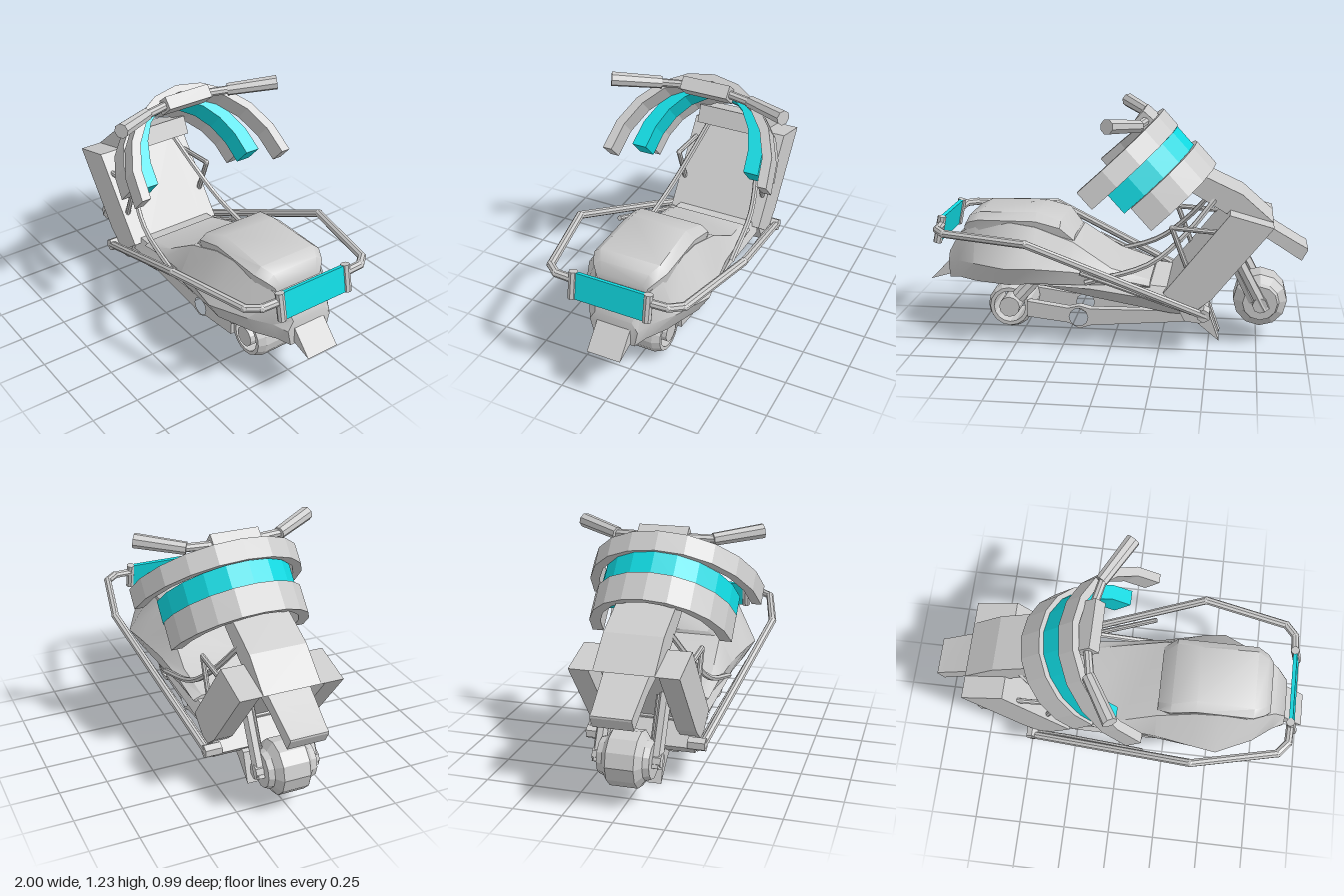
import * as THREE from 'three';
import { toCreasedNormals } from 'three/addons/utils/BufferGeometryUtils.js';

const V = (x, y, z) => new THREE.Vector3(x, y, z);

export function createModel() {
  const root = new THREE.Group();
  const grey = new THREE.MeshStandardMaterial({ color: 0xcccccc, flatShading: true });
  const smooth = new THREE.MeshStandardMaterial({ color: 0xcccccc });
  const cyan = new THREE.MeshStandardMaterial({ color: 0x10d8e0, flatShading: true });

  function add(name, geo, mat = grey) {
    const m = new THREE.Mesh(geo, mat);
    m.name = name;
    root.add(m);
    return m;
  }
  // Side outline (x, y) extruded from z0 to z1
  function slab(name, pts, z0, z1, holes = []) {
    const s = new THREE.Shape(pts.map(p => new THREE.Vector2(...p)));
    for (const [x, y, r] of holes) s.holes.push(new THREE.Path().absarc(x, y, r, 0, Math.PI * 2, true));
    const g = new THREE.ExtrudeGeometry(s, { depth: z1 - z0, bevelEnabled: false, curveSegments: 5 });
    return add(name, g.translate(0, 0, z0));
  }
  // Straight bar between two points
  function bar(name, a, b, r, sides = 8, mat = grey, r2 = r) {
    const d = b.clone().sub(a);
    const m = add(name, new THREE.CylinderGeometry(r2, r, d.length(), sides), mat);
    m.position.copy(a).add(b).multiplyScalar(0.5);
    m.quaternion.setFromUnitVectors(V(0, 1, 0), d.normalize());
    return m;
  }
  // Chain of straight bars with rounded joints
  function pipe(name, pts, r) {
    const path = new THREE.CurvePath();
    for (let i = 1; i < pts.length; i++) {
      bar(name, pts[i - 1], pts[i], r);
      if (i > 1) add(name + 'Joint', new THREE.IcosahedronGeometry(r * 1.03, 1)).position.copy(pts[i - 1]);
    }
    return path;
  }
  // Skin over six-cornered sections: [x, yLow, yMid, yTop, zLow, zMid, zTop]
  function loft(name, secs, crease) {
    const pos = [], idx = [], n = 6;
    for (const [x, y0, y1, y2, z0, z1, z2] of secs)
      pos.push(x, y0, -z0, x, y1, -z1, x, y2, -z2, x, y2, z2, x, y1, z1, x, y0, z0);
    for (let i = 0; i < secs.length - 1; i++)
      for (let j = 0; j < n; j++) {
        const a = i * n + j, b = i * n + (j + 1) % n;
        idx.push(a, b, a + n, b, b + n, a + n);
      }
    const e = (secs.length - 1) * n;
    for (let j = 1; j < n - 1; j++) idx.push(0, j + 1, j, e, e + j, e + j + 1);
    let g = new THREE.BufferGeometry();
    g.setAttribute('position', new THREE.Float32BufferAttribute(pos, 3));
    g.setIndex(idx);
    g.computeVertexNormals();
    return add(name, toCreasedNormals(g, crease), smooth);
  }
  // Crescent band lying in the tilted windshield plane
  function band(name, x, y, a, b, ai, bi, h, mat) {
    const s = new THREE.Shape(), N = 10;
    for (let i = 0; i <= N; i++) {
      const t = (i / N - 0.5) * Math.PI, p = [a - a * Math.cos(t), b * Math.sin(t)];
      i ? s.lineTo(...p) : s.moveTo(...p);
    }
    for (let i = N; i >= 0; i--) {
      const t = (i / N - 0.5) * Math.PI;
      s.lineTo(a - ai * Math.cos(t), bi * Math.sin(t));
    }
    const g = new THREE.ExtrudeGeometry(s, { depth: h, bevelEnabled: false });
    const m = new THREE.Matrix4().makeBasis(V(0.74, -0.67, 0), V(0, 0, -1), V(0.67, 0.74, 0));
    add(name, g.applyMatrix4(m.setPosition(x, y, 0)), mat);
  }

  // Windshield bands
  band('lowerCowlBand', -0.52, 0.94, 0.41, 0.37, 0.38, 0.31, 0.15, grey);
  band('colouredCowlBand', -0.4, 1.035, 0.43, 0.36, 0.395, 0.28, 0.125, cyan);
  band('upperCowlBand', -0.32, 1.135, 0.52, 0.46, 0.48, 0.41, 0.11, grey);

  // Handlebar
  const block = add('handlebarClamp', new THREE.BoxGeometry(0.1, 0.07, 0.26));
  block.position.set(-0.165, 1.165, 0);
  block.rotation.z = 0.72;

  // Neck, nose and leg shield
  slab('neck', [[-0.82, 0.67], [-0.66, 0.81], [-0.4, 0.93], [-0.36, 0.84], [-0.58, 0.71]], -0.15, 0.15);
  loft('frontFender', [[-1, 0.515, 0.518, 0.525, 0.1, 0.1, 0.1], [-0.97, 0.46, 0.5, 0.54, 0.1, 0.1, 0.1],
    [-0.8, 0.57, 0.6, 0.64, 0.11, 0.11, 0.11], [-0.7, 0.62, 0.65, 0.7, 0.12, 0.12, 0.12]], 0.3);
  const shield = [[-0.82, 0.67], [-0.6, 0.73], [-0.27, 0.31], [-0.41, 0.2], [-0.52, 0.29]];
  slab('shieldBack', [[-0.82, 0.67], [-0.6, 0.73], [-0.27, 0.31], [-0.36, 0.25], [-0.66, 0.62]], -0.18, 0.18);

  // Floor, belly and seat body
  loft('floorAndBelly', [[-0.42, 0.15, 0.2, 0.3, 0.12, 0.2, 0.2], [-0.3, 0.17, 0.26, 0.33, 0.16, 0.25, 0.22],
    [0.1, 0.24, 0.32, 0.37, 0.16, 0.27, 0.24], [0.42, 0.29, 0.33, 0.4, 0.12, 0.26, 0.22]], 0.35);
  loft('seatBody', [[-0.2, 0.32, 0.34, 0.36, 0.22, 0.25, 0.2], [0, 0.34, 0.38, 0.42, 0.25, 0.26, 0.22],
    [0.2, 0.34, 0.41, 0.55, 0.27, 0.28, 0.21], [0.4, 0.34, 0.43, 0.62, 0.28, 0.32, 0.2],
    [0.53, 0.33, 0.43, 0.64, 0.28, 0.34, 0.2], [0.72, 0.32, 0.43, 0.62, 0.2, 0.25, 0.18],
    [0.82, 0.32, 0.42, 0.56, 0.14, 0.17, 0.13], [0.885, 0.31, 0.4, 0.45, 0.11, 0.13, 0.1]], 0.6);
  loft('seatCushion', [[0.2, 0.53, 0.55, 0.57, 0.17, 0.18, 0.14], [0.27, 0.56, 0.62, 0.65, 0.2, 0.21, 0.17],
    [0.4, 0.58, 0.65, 0.69, 0.19, 0.2, 0.15], [0.7, 0.58, 0.65, 0.685, 0.19, 0.2, 0.16],
    [0.76, 0.58, 0.63, 0.66, 0.16, 0.17, 0.13], [0.79, 0.56, 0.6, 0.61, 0.13, 0.14, 0.11]], 0.7);
  slab('rearFender', [[0.75, 0.5], [0.85, 0.44], [0.995, 0.29], [0.89, 0.32], [0.75, 0.36]], -0.09, 0.09);

  // Wheels
  const wheel = (name, x, y, pts, sides) => {
    const g = new THREE.LatheGeometry(pts.map(p => new THREE.Vector2(...p)), sides).rotateX(Math.PI / 2);
    const m = add(name, g, new THREE.MeshStandardMaterial({ color: 0xcccccc, flatShading: true, side: THREE.DoubleSide }));
    m.position.set(x, y, 0);
  };
  wheel('frontWheel', -0.765, 0.23, [[0, -0.13], [0.09, -0.13], [0.1, -0.1], [0.14, -0.07], [0.14, 0.07],
    [0.1, 0.1], [0.09, 0.13], [0, 0.13]], 12);
  wheel('rearWheel', 0.56, 0.16, [[0.085, -0.13], [0.105, -0.13], [0.122, -0.09], [0.122, 0.09], [0.105, 0.13],
    [0.085, 0.13], [0.085, -0.13]], 16);
  bar('rearHub', V(0.56, 0.16, -0.14), V(0.56, 0.16, 0.14), 0.055, 12);
  bar('frontAxle', V(-0.765, 0.23, -0.17), V(-0.765, 0.23, 0.17), 0.04);

  // Rear plate
  const plate = add('rearPlate', new THREE.BoxGeometry(0.02, 0.14, 0.4), cyan);
  plate.position.set(0.905, 0.595, 0);
  plate.rotation.z = 0.2;

  // Skid below the floor
  slab('skidCrossbar', [[-0.5, 0.19], [-0.4, 0.32], [-0.3, 0.32], [-0.38, 0.16], [-0.46, 0.15]], -0.25, 0.25);

  // Mirrored parts
  for (const s of [1, -1]) {
    const both = (z0, z1) => s > 0 ? [z0, z1] : [-z1, -z0];
    slab('shieldSide', shield, ...both(0.17, 0.27));
    bar('handlebarStem', V(-0.16, 1.17, s * 0.12), V(-0.13, 1.165, s * 0.27), 0.022);
    bar('handGrip', V(-0.14, 1.165, s * 0.25), V(-0.01, 1.195, s * 0.475), 0.033, 8, grey, 0.038);
    bar('forkLeg', V(-0.79, 0.2, s * 0.145), V(-0.62, 0.52, s * 0.145), 0.03, 6);
    bar('forkSleeve', V(-0.73, 0.24, s * 0.12), V(-0.6, 0.5, s * 0.12), 0.028, 6);
    pipe('sideRail', [V(-0.5, 0.2, s * 0.29), V(0.4, 0.6, s * 0.46), V(0.84, 0.615, s * 0.36),
      V(0.89, 0.62, s * 0.3), V(0.895, 0.62, s * 0.2)], 0.021);
    pipe('lowerRail', [V(-0.5, 0.19, s * 0.27), V(-0.28, 0.27, s * 0.3), V(0.14, 0.44, s * 0.38)], 0.014);
    bar('plateCap', V(0.89, 0.665, s * 0.2), V(0.92, 0.525, s * 0.2), 0.023);
    bar('railFoot', V(-0.48, 0.21, s * 0.22), V(-0.48, 0.21, s * 0.31), 0.035, 6);
    slab('skidSpike', [[-0.555, 0.005], [-0.5, 0.16], [-0.4, 0.2], [-0.38, 0.13], [-0.44, 0.1]], ...both(0.03, 0.1));
    // Curved stay and triangular bracket behind the shield
    const stay = new THREE.CatmullRomCurve3([V(-0.52, 0.78, s * 0.14), V(-0.38, 0.61, s * 0.2),
      V(-0.2, 0.46, s * 0.25), V(0.13, 0.355, s * 0.28)]);
    add('curvedStay', new THREE.TubeGeometry(stay, 12, 0.015, 6));
    pipe('bracket', [V(-0.6, 0.63, s * 0.24), V(-0.31, 0.65, s * 0.24), V(-0.39, 0.44, s * 0.24)], 0.014);
    // Swing arm with an open pivot ring, and rear shock
    slab('swingArm', [[-0.42, 0.18], [0.12, 0.17], [0.18, 0.185], [0.24, 0.17], [0.46, 0.2], [0.46, 0.115],
      [0.24, 0.09], [0.18, 0.06], [0.12, 0.08], [-0.42, 0.125]], ...both(0.1, 0.15), [[0.185, 0.122, 0.05]]);
    bar('rearShock', V(0.4, 0.34, s * 0.12), V(0.51, 0.22, s * 0.14), 0.04);
  }
  return root;
}
